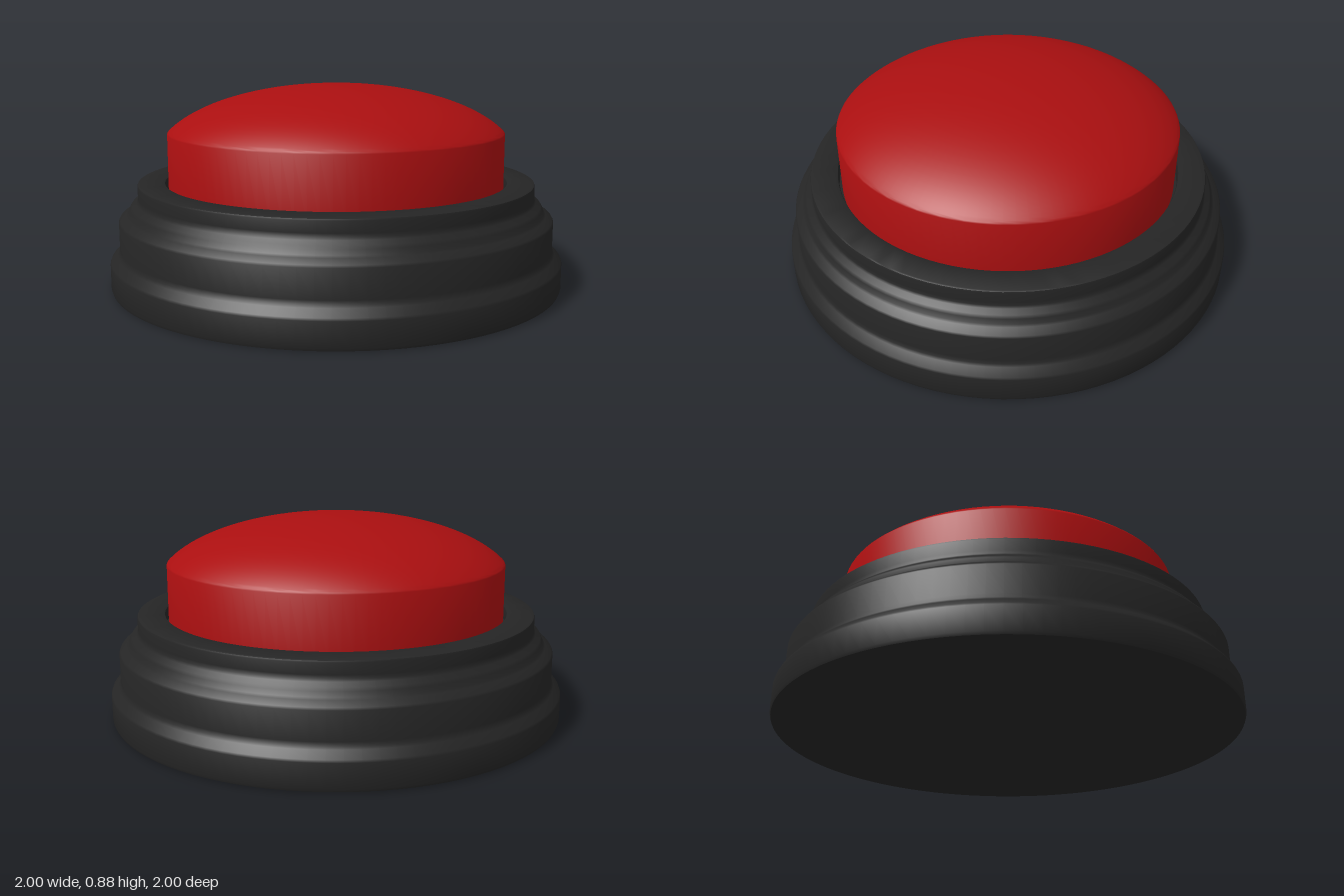
import * as THREE from 'three';
import { toCreasedNormals } from 'three/addons/utils/BufferGeometryUtils.js';

const SEGMENTS = 96;

// Revolve a profile of [radius, height] pairs, listed from bottom to top
function turned(name, profile, material) {
  const points = profile.map(([r, y]) => new THREE.Vector2(r, y));
  const geometry = toCreasedNormals(new THREE.LatheGeometry(points, SEGMENTS), 0.6);
  const mesh = new THREE.Mesh(geometry, material);
  mesh.name = name;
  return mesh;
}

export function createModel() {
  const black = new THREE.MeshStandardMaterial({ color: 0x252525 });
  black.name = 'black plastic';
  const red = new THREE.MeshStandardMaterial({ color: 0xaa0f10 });
  red.name = 'red plastic';

  const group = new THREE.Group();
  group.name = 'pushButton';

  // Stepped base with softened shoulders and a narrow well for the cap
  group.add(turned('base', [
    [0, 0], [0.985, 0], [0.996, 0.004], [1, 0.015],
    [1, 0.115], [0.996, 0.125], [0.968, 0.152], [0.961, 0.163], [0.958, 0.178],
    [0.958, 0.295], [0.953, 0.304], [0.925, 0.322], [0.917, 0.33],
    [0.91, 0.35], [0.902, 0.362], [0.882, 0.376], [0.876, 0.386],
    [0.875, 0.4], [0.875, 0.446], [0.873, 0.452], [0.867, 0.455],
    [0.765, 0.455], [0.757, 0.452], [0.754, 0.444],
    [0.754, 0.4], [0, 0.4],
  ], black));

  // Cap: straight wall under a shallow dome
  const cap = [[0, 0.4], [0.742, 0.4], [0.742, 0.665], [0.739, 0.671]];
  const steps = 20;
  for (let i = 0; i <= steps; i++) {
    const r = 0.735 * Math.cos((i / steps) * Math.PI / 2);
    cap.push([i === steps ? 0 : r, 0.875 - 0.33 * (1 - Math.sqrt(1 - (r / 0.8) ** 2))]);
  }
  group.add(turned('cap', cap, red));

  return group;
}
